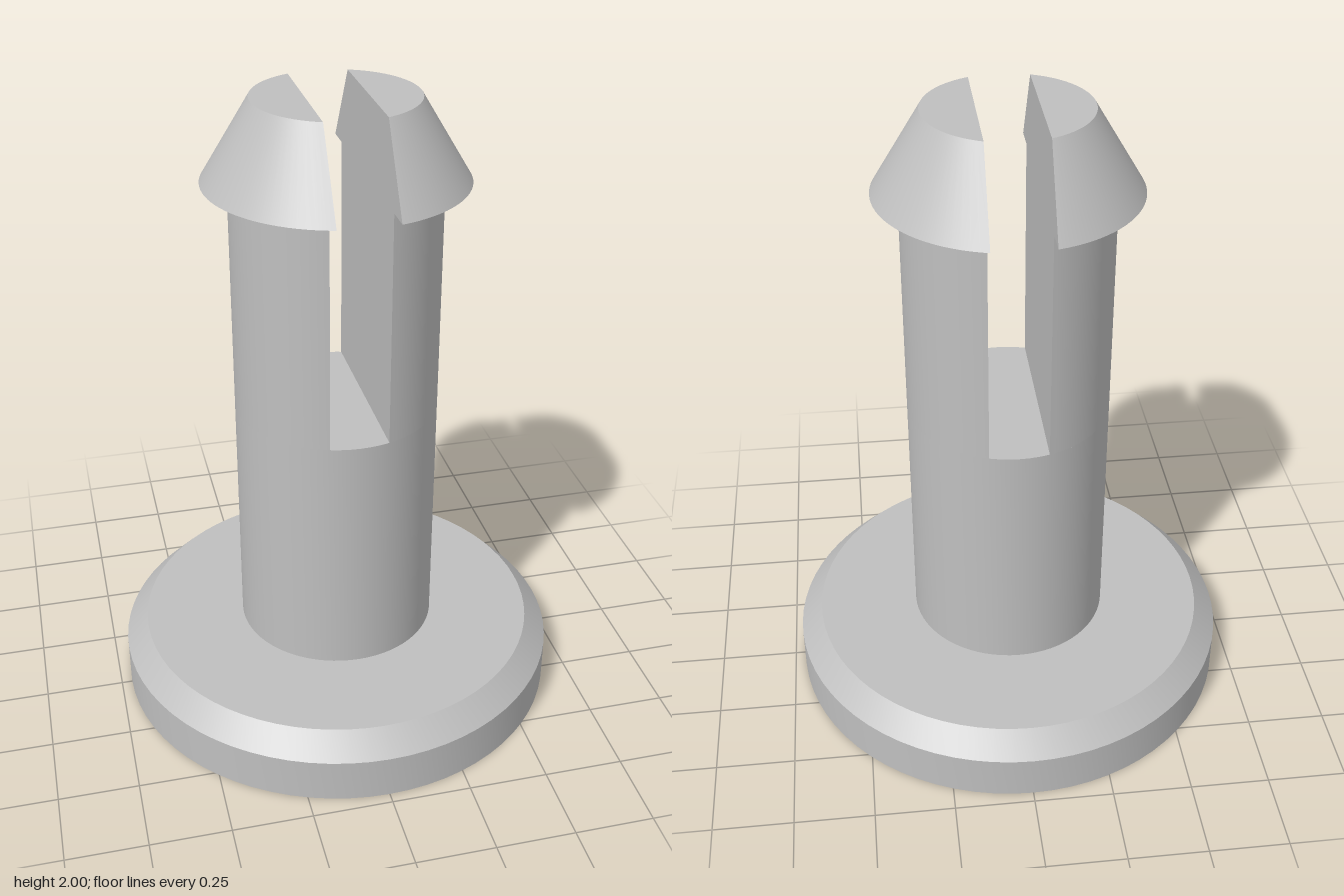
import * as THREE from 'three';
import { toCreasedNormals } from 'three/addons/utils/BufferGeometryUtils.js';

const CREASE = 0.5;
const SHAFT_R = 0.32, SLOT_Y = 1.015, SLOT_HALF = 0.0915;

// Solid of revolution with sharp profile corners, listed bottom to top
function turned(profile) {
  const points = profile.map(([r, y]) => new THREE.Vector2(r, y));
  return toCreasedNormals(new THREE.LatheGeometry(points, 72), CREASE);
}

// Half of a turned profile, cut flat at x = SLOT_HALF
function cutHalf(profile, segments = 40) {
  const rings = profile.map(([r, y]) => {
    const a = Math.acos(SLOT_HALF / r);
    return Array.from({ length: segments + 1 }, (_, j) => {
      const t = -a + (2 * a * j) / segments;
      return [r * Math.cos(t), y, r * Math.sin(t)];
    });
  });
  const pos = [];
  const tri = (a, b, c) => pos.push(...a, ...b, ...c);

  // Curved walls; the last step closes the flat slot face
  for (let i = 0; i < rings.length - 1; i++) {
    for (let j = 0; j <= segments; j++) {
      const n = (j + 1) % (segments + 1);
      const [low, high] = [rings[i], rings[i + 1]];
      tri(low[j], high[j], high[n]);
      tri(low[j], high[n], low[n]);
    }
  }
  // Flat top
  const top = rings[rings.length - 1];
  const centre = [SLOT_HALF, top[0][1], 0];
  for (let j = 0; j < segments; j++) tri(centre, top[j + 1], top[j]);

  const geometry = new THREE.BufferGeometry();
  geometry.setAttribute('position', new THREE.Float32BufferAttribute(pos, 3));
  return toCreasedNormals(geometry, CREASE);
}

export function createModel() {
  const group = new THREE.Group();
  group.name = 'splitPushPin';
  const grey = new THREE.MeshStandardMaterial({ color: 0xbfbfbf });
  grey.name = 'grey plastic';

  const add = (name, geometry) => {
    const mesh = new THREE.Mesh(geometry, grey);
    mesh.name = name;
    group.add(mesh);
    return mesh;
  };

  // Chamfered disc base
  add('base', turned([[0, 0], [0.716, 0], [0.716, 0.143], [0.645, 0.215], [0, 0.215]]));

  // Solid lower shaft, ending at the slot floor
  add('shaft', turned([[SHAFT_R, 0.215], [SHAFT_R, SLOT_Y], [0, SLOT_Y]]));

  // Two prongs with barbed, tapered heads
  const prong = cutHalf([[SHAFT_R, SLOT_Y], [SHAFT_R, 1.75], [0.4, 1.75], [0.25, 2]]);
  add('leftProng', prong);
  add('rightProng', prong).rotation.y = Math.PI;

  return group;
}
